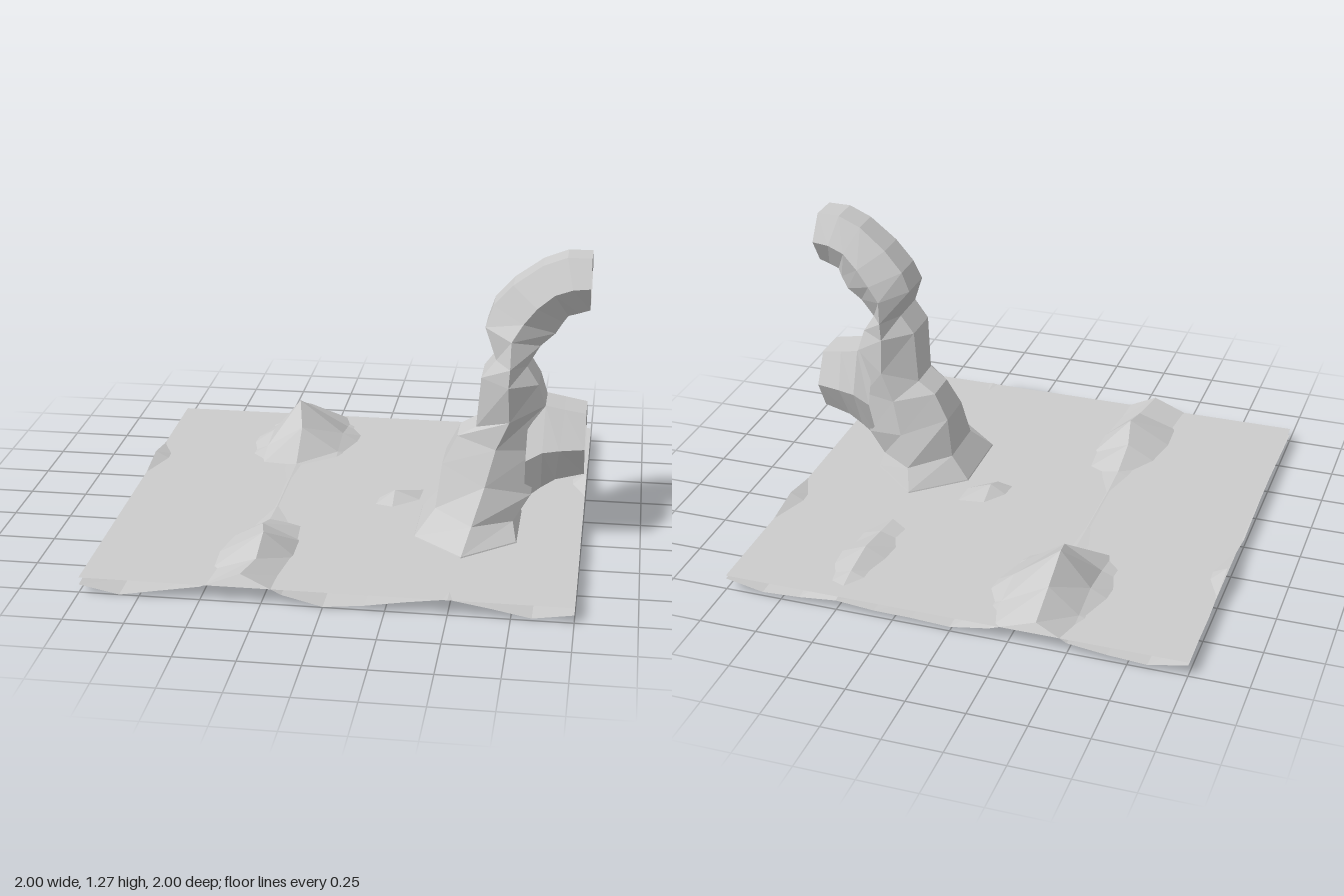
import * as THREE from 'three';

const material = new THREE.MeshStandardMaterial({ color: 0xcccccc, flatShading: true, side: THREE.DoubleSide });

// Height of the seabed across x (13 columns), before islands are added
const profile = [0.045, 0.005, 0.025, 0.045, 0.066, 0.045, 0.008, 0.02, 0.035, 0.05, 0.03, 0.008, 0.04];

// Islands: x, z, height, radius in x, radius in z
const islands = [
  [-0.333, -0.667, 0.26, 0.15, 0.25],
  [-0.5, -0.5, 0.085, 0.12, 0.12],
  [-0.333, -1, 0.12, 0.15, 0.2],
  [-0.333, 0.5, 0.13, 0.1, 0.2],
  [-0.333, 0.667, 0.165, 0.14, 0.25],
  [-0.333, 1, 0.125, 0.14, 0.3],
  [0.5, -0.667, 0.11, 0.1, 0.3],
  [0.167, 0, 0.105, 0.08, 0.14],
  [-1, -0.333, 0.095, 0.1, 0.25],
  [1, -0.333, 0.095, 0.1, 0.25],
  [0.5, 1, 0.068, 0.2, 0.2],
];

function seabed() {
  const geo = new THREE.PlaneGeometry(2, 2, 12, 12).rotateX(-Math.PI / 2);
  const p = geo.attributes.position;
  for (let i = 0; i < p.count; i++) {
    const x = p.getX(i), z = p.getZ(i);
    const wave = 0.012 * Math.sin(5 * z + 7 * x);
    let y = Math.max(0, profile[i % 13] + (Math.abs(x + 0.333) < 0.05 ? 0 : wave));
    for (const [ix, iz, h, rx, rz] of islands) {
      y = Math.max(y, h * Math.exp(-(((x - ix) / rx) ** 2 + ((z - iz) / rz) ** 2) * 0.75));
    }
    p.setY(i, y);
    // Lean the western ridge so its crest is not straight
    if (Math.abs(x + 0.333) < 0.05 && z < 0.9) p.setX(i, z < -0.5 ? -0.37 : z > 0.6 ? -0.3 : -0.335);
  }
  return geo;
}

// Open six-sided tube. Each ring: outer x, y, inner x, y, middle z, half width.
function rockTube(rings, flat, openInner = []) {
  const pos = [], index = [];
  for (const [ox, oy, ix, iy, z, h] of rings) {
    const mx = (ox + ix) / 2, my = (oy + iy) / 2, f = h * flat;
    pos.push(ox, oy, z + f, ox, oy, z - f, mx, my, z - h, ix, iy, z - f, ix, iy, z + f, mx, my, z + h);
  }
  for (let r = 0; r < rings.length - 1; r++) {
    for (let s = 0; s < 6; s++) {
      if (s === 3 && openInner.includes(r)) continue;
      const a = r * 6 + s, b = r * 6 + (s + 1) % 6;
      index.push(a, a + 6, b, b, a + 6, b + 6);
    }
  }
  const geo = new THREE.BufferGeometry();
  geo.setAttribute('position', new THREE.Float32BufferAttribute(pos, 3));
  geo.setIndex(index);
  geo.computeVertexNormals();
  return geo;
}

// Flared foot, trunk, pinched neck and curling arm
const archRings = [
  [0.27, 0.0, 0.76, 0.0, 0.235, 0.39],
  [0.3, 0.07, 0.73, 0.07, 0.235, 0.36],
  [0.38, 0.17, 0.71, 0.13, 0.205, 0.26],
  [0.4, 0.35, 0.78, 0.23, 0.175, 0.19],
  [0.46, 0.47, 0.8, 0.42, 0.165, 0.16],
  [0.54, 0.52, 0.83, 0.63, 0.175, 0.165],
  [0.56, 0.75, 0.8, 0.73, 0.195, 0.185],
  [0.62, 0.83, 0.75, 0.81, 0.195, 0.185],
  [0.57, 0.96, 0.8, 0.89, 0.17, 0.165],
  [0.6, 1.05, 0.86, 0.94, 0.155, 0.15],
  [0.68, 1.14, 0.89, 0.99, 0.16, 0.145],
  [0.8, 1.23, 0.91, 1.02, 0.17, 0.135],
  [0.9, 1.27, 0.955, 1.035, 0.175, 0.135],
  [1, 1.27, 1, 1.05, 0.175, 0.135],
];

// Short stump growing out of the trunk
const branchRings = [
  [0.76, 0.6, 0.75, 0.2, 0.17, 0.15],
  [0.83, 0.63, 0.82, 0.26, 0.17, 0.16],
  [0.91, 0.615, 0.88, 0.3, 0.17, 0.16],
  [1, 0.6, 1, 0.33, 0.17, 0.15],
];

export function createModel() {
  const group = new THREE.Group();
  const add = (name, geo) => {
    const mesh = new THREE.Mesh(geo, material);
    mesh.name = name;
    group.add(mesh);
    return mesh;
  };
  add('seabed', seabed());
  add('waterSurface', new THREE.PlaneGeometry(2, 2).rotateX(-Math.PI / 2)).position.y = 0.065;
  add('rockArch', rockTube(archRings, 0.48, [3, 4]));
  add('rockBranch', rockTube(branchRings, 0.52));
  return group;
}
